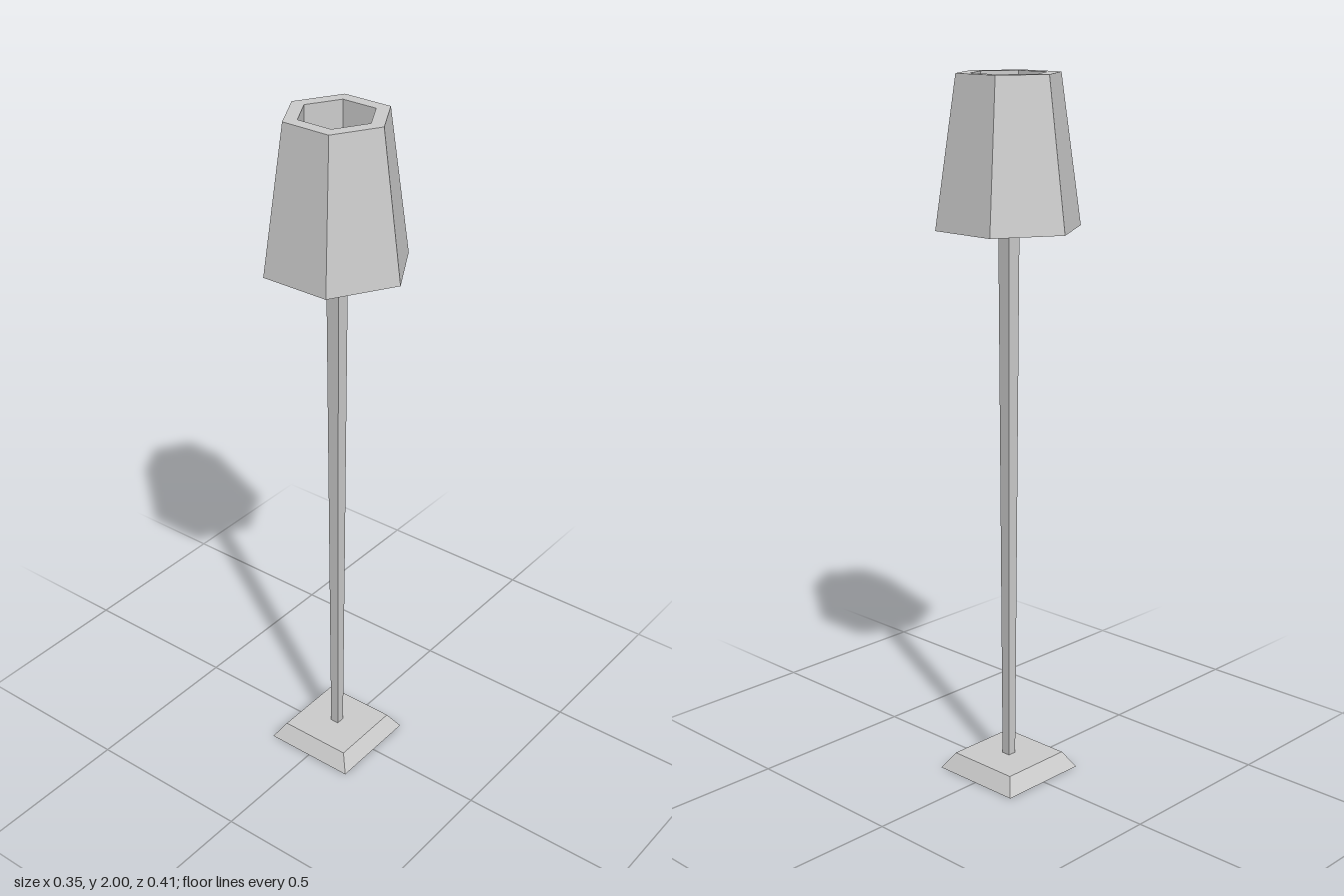
import * as THREE from 'three';

const material = new THREE.MeshStandardMaterial({ color: 0xcccccc, flatShading: true });

// Square tapered block, given half-widths and bottom/top heights
function squareFrustum(name, halfBottom, halfTop, y0, y1) {
  const geometry = new THREE.CylinderGeometry(
    halfTop * Math.SQRT2, halfBottom * Math.SQRT2, y1 - y0, 4);
  geometry.rotateY(Math.PI / 4);
  geometry.translate(0, (y0 + y1) / 2, 0);
  const mesh = new THREE.Mesh(geometry, material);
  mesh.name = name;
  return mesh;
}

export function createModel() {
  const lamp = new THREE.Group();
  lamp.name = 'floorLamp';

  // Foot with bevelled sides
  lamp.add(squareFrustum('base', 0.14, 0.11, 0, 0.047));

  // Slender pole, slightly wider towards the top, ending inside the shade
  lamp.add(squareFrustum('pole', 0.013, 0.021, 0.047, 1.77));

  // Six-sided shade: sloping outside, straight opening through the middle
  const profile = [
    [0.204, 1.59], [0.145, 2], [0.105, 2], [0.105, 1.59], [0.204, 1.59],
  ].map(([r, y]) => new THREE.Vector2(r, y));
  const shade = new THREE.Mesh(new THREE.LatheGeometry(profile, 6), material);
  shade.name = 'shade';
  lamp.add(shade);

  return lamp;
}
